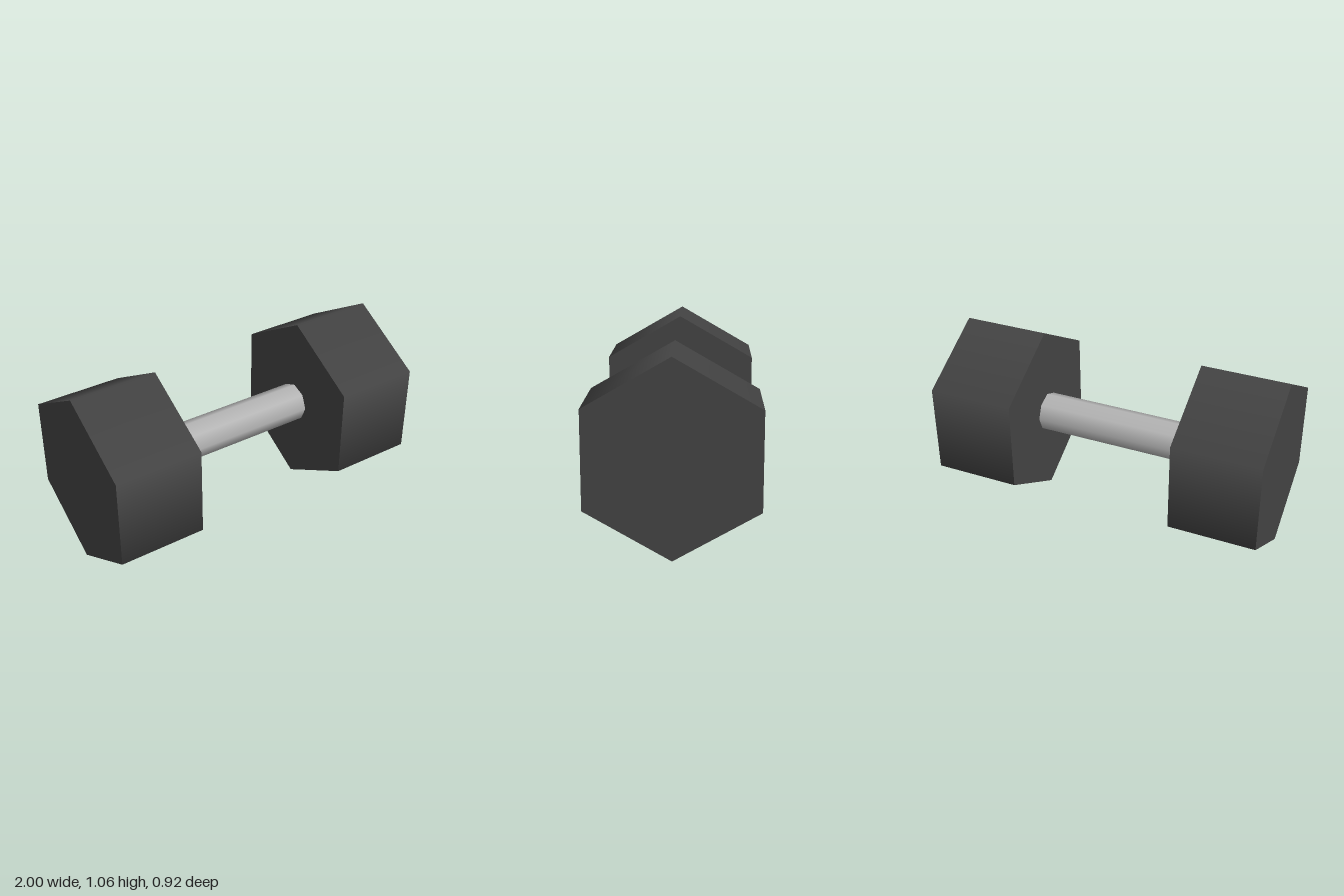
import * as THREE from 'three';

export function createModel() {
  const model = new THREE.Group();
  model.name = 'dumbbell';

  const rubber = new THREE.MeshStandardMaterial({ color: 0x444444 });
  rubber.name = 'dark rubber';
  const steel = new THREE.MeshStandardMaterial({ color: 0xb4b4b4 });
  steel.name = 'grey steel';

  const radius = 0.53;
  const headLength = 0.512;

  // Prism lying along x, with a corner pointing straight up
  function addBar(name, r, length, sides, x, material) {
    const geometry = new THREE.CylinderGeometry(r, r, length, sides);
    geometry.rotateY(Math.PI / 2).rotateZ(Math.PI / 2);
    const mesh = new THREE.Mesh(geometry, material);
    mesh.name = name;
    mesh.position.set(x, radius, 0);
    model.add(mesh);
  }

  // Hexagonal weights
  const headX = 1 - headLength / 2;
  addBar('leftWeight', radius, headLength, 6, headX, rubber);
  addBar('rightWeight', radius, headLength, 6, -headX, rubber);

  // Octagonal handle, ending just inside the weights
  addBar('handle', 0.116, 2 * (1 - headLength) + 0.02, 8, 0, steel);

  return model;
}
